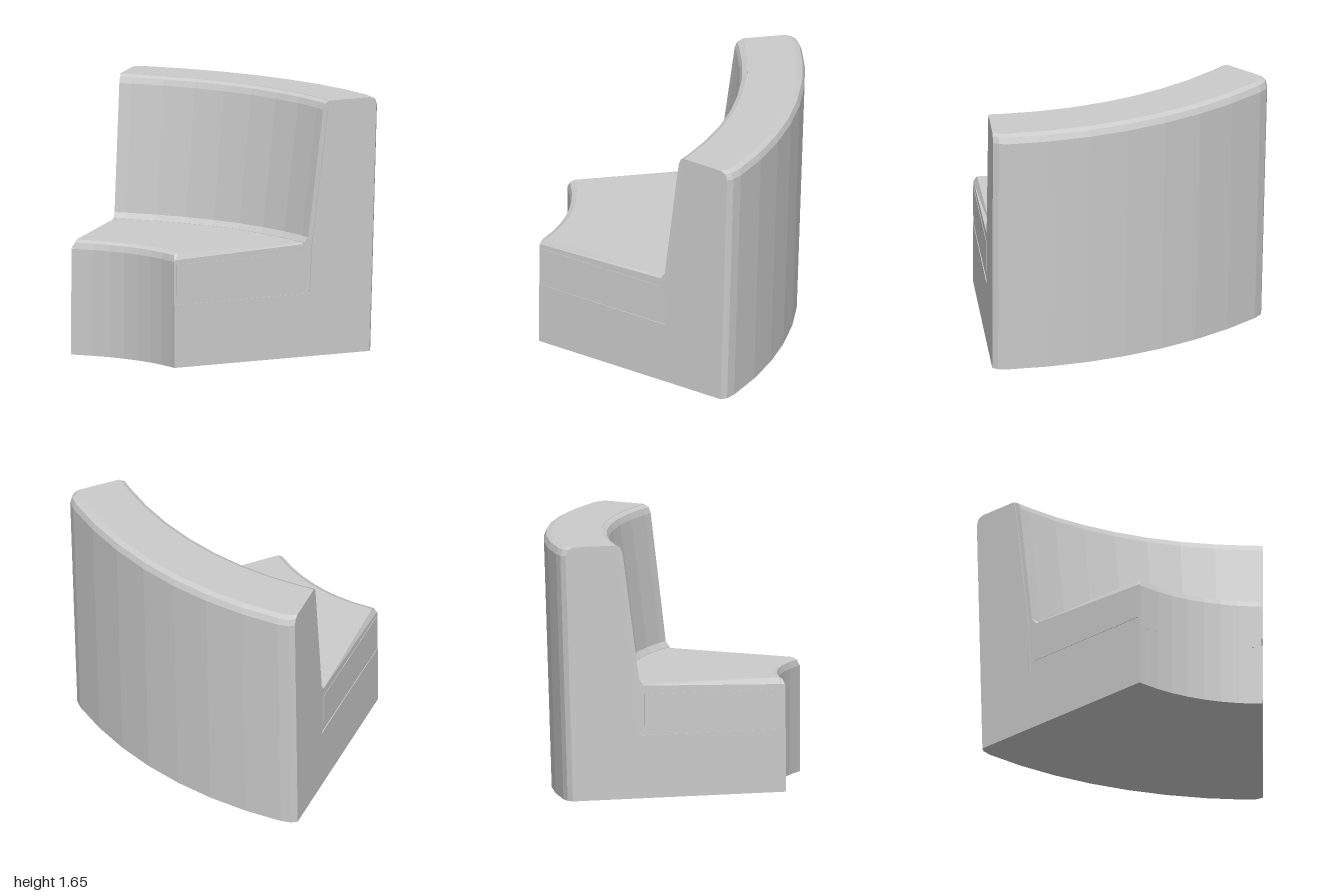
import * as THREE from 'three';

const PIVOT_Z = 1.816;   // centre of the arc, in front of the seat
const HALF = 0.396;      // half angle of the wedge
const material = new THREE.MeshStandardMaterial({ color: 0xcccccc, flatShading: true });

// Sweep a counter-clockwise [radius, y] profile around the pivot.
// profileAt(a) receives the absolute angle, so ends can differ from the middle.
function sweep(name, halfAngles, profileAt) {
  const angles = [...halfAngles.map(a => -a).reverse(), ...halfAngles];
  const profiles = angles.map(a => profileAt(Math.abs(a)));
  const rings = angles.map((a, k) => profiles[k].map(([r, y]) =>
    [r * Math.sin(a), y, PIVOT_Z - r * Math.cos(a)]));
  const pos = [];
  const tri = (a, b, c) => pos.push(...a, ...b, ...c);
  const n = rings[0].length;
  for (let k = 0; k < rings.length - 1; k++) {
    for (let i = 0; i < n; i++) {
      const j = (i + 1) % n;
      tri(rings[k][i], rings[k][j], rings[k + 1][j]);
      tri(rings[k][i], rings[k + 1][j], rings[k + 1][i]);
    }
  }
  // flat end caps
  const last = rings.length - 1;
  const outline = profiles[last].map(([r, y]) => new THREE.Vector2(r, y));
  for (const [a, b, c] of THREE.ShapeUtils.triangulateShape(outline, [])) {
    tri(rings[last][a], rings[last][b], rings[last][c]);
    tri(rings[0][c], rings[0][b], rings[0][a]);
  }
  const geometry = new THREE.BufferGeometry();
  geometry.setAttribute('position', new THREE.Float32BufferAttribute(pos, 3));
  geometry.computeVertexNormals();
  const mesh = new THREE.Mesh(geometry, material);
  mesh.name = name;
  return mesh;
}

export function createModel() {
  const group = new THREE.Group();
  group.name = 'curvedBench';

  // Plinth and back shell, with rounded rear corners
  const shell = sweep('baseAndBackShell', [0.051, 0.153, 0.256, 0.355, 0.382, HALF], a => {
    const cut = a > 0.39 ? 0.035 : a > 0.37 ? 0.01 : 0;
    return [
      [1.106, 0], [2.57 - cut, 0], [2.62 - cut, 1.6], [2.605 - cut, 1.64],
      [2.57 - cut, 1.655], [2.25, 1.655], [2.235, 1.6], [2.115, 0.72],
      [2.1, 0.41], [1.106, 0.41],
    ];
  });

  // Seat cushion: rolled front edge, sides falling away toward the front
  const seat = sweep('seatCushion', [0.051, 0.153, 0.256, 0.375, 0.393], a => {
    const top = a > 0.38
      ? [[2.07, 0.733], [1.14, 0.702], [1.112, 0.7], [1.106, 0.69]]
      : [[2.07, 0.738], [1.15, 0.745], [1.118, 0.73], [1.106, 0.69]];
    return [[1.106, 0.4], [2.12, 0.4], [2.12, 0.72], ...top];
  });

  // Leaning back cushion with a chamfer where it meets the seat
  const back = sweep('backCushion', [0.051, 0.153, 0.256, 0.355, 0.393], () => [
    [2.06, 0.72], [2.2, 0.7], [2.3, 1.6], [2.26, 1.653],
    [2.245, 1.653], [2.215, 1.638], [2.2, 1.6], [2.09, 0.775], [2.062, 0.74],
  ]);
  group.add(shell, seat, back);

  // Shallow panel on each side of the seat
  for (const side of [-1, 1]) {
    const r = 1.59;
    const a = side * (HALF - 0.004);
    const panel = new THREE.Mesh(new THREE.BoxGeometry(0.01, 0.205, 0.93), material);
    panel.name = side > 0 ? 'leftSidePanel' : 'rightSidePanel';
    panel.position.set(r * Math.sin(a), 0.572, PIVOT_Z - r * Math.cos(a));
    panel.rotation.y = -a;
    group.add(panel);
  }
  return group;
}
